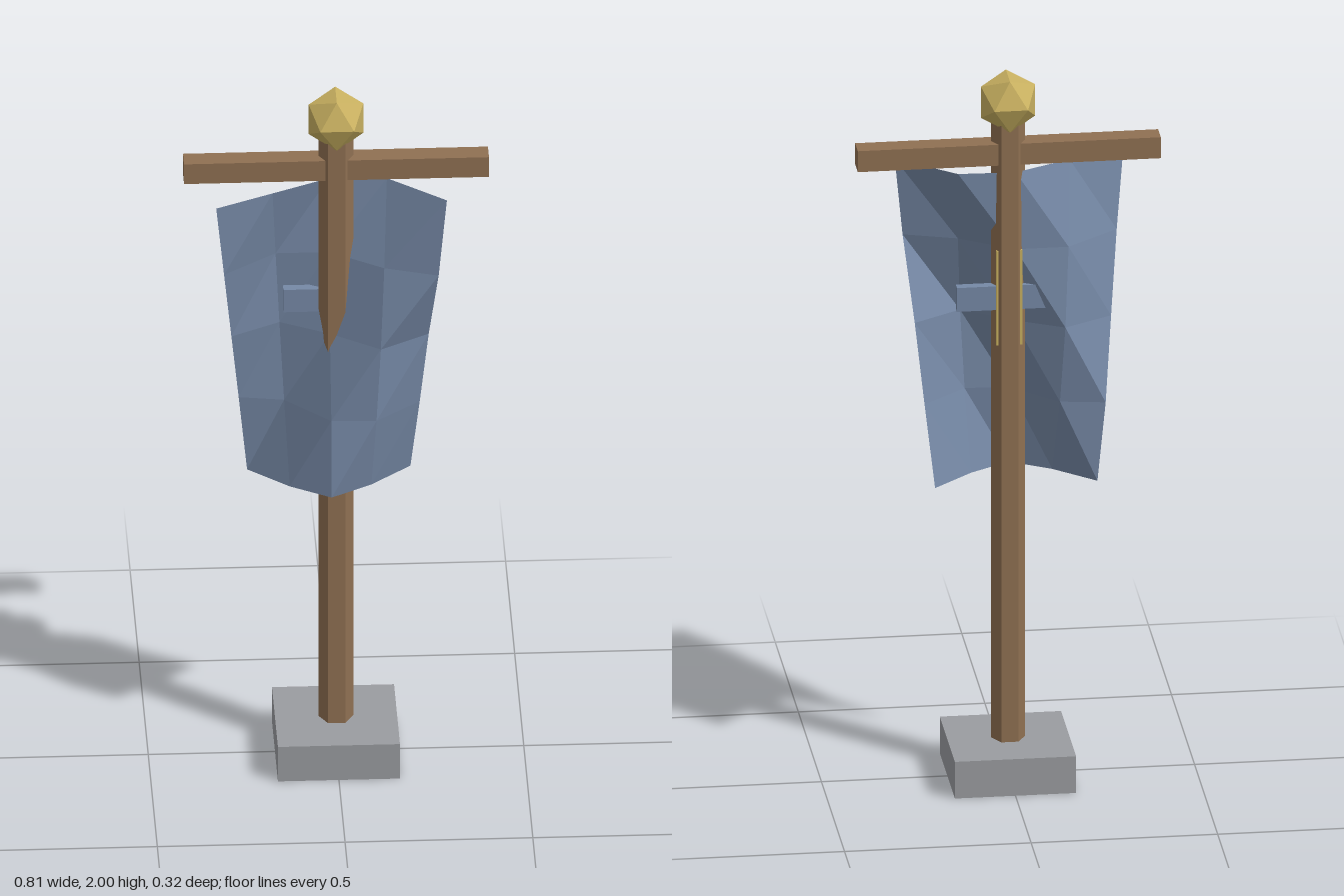
import * as THREE from 'three';

const flat = (name, color, side = THREE.FrontSide) => {
  const m = new THREE.MeshStandardMaterial({ color, side, flatShading: true });
  m.name = name;
  return m;
};

export function createModel() {
  const group = new THREE.Group();
  const wood = flat('wood', 0x8f7052);
  const cloth = flat('blue cloth', 0x7689a6, THREE.DoubleSide);
  const gold = flat('gold', 0xc8b060);
  const stone = flat('stone', 0x9a9ca0);

  const add = (name, geometry, material, x = 0, y = 0, z = 0) => {
    const mesh = new THREE.Mesh(geometry, material);
    mesh.name = name;
    mesh.position.set(x, y, z);
    group.add(mesh);
    return mesh;
  };

  // Stone foot, six-sided pole with a corner on each side, and crossbar
  add('base', new THREE.BoxGeometry(0.325, 0.105, 0.325), stone, 0, 0.0525, 0);
  add('pole', new THREE.CylinderGeometry(0.046, 0.046, 1.88, 6), wood, 0, 0.942, 0).rotation.y = Math.PI / 6;
  add('crossbar', new THREE.BoxGeometry(0.812, 0.06, 0.058), wood, 0, 1.785, 0);

  // Faceted finial with its top edge running front to back
  add('finial', new THREE.IcosahedronGeometry(0.0855), gold, 0, 1.9273, 0).rotation.y = Math.PI / 2;

  // Hanging banner: tapered sheet, folds given as depth per row from top to bottom
  const folds = [
    [0.125, 0.05, -0.025, -0.018, 0.11],
    [0.09, -0.02, -0.02, 0.075, 0.122],
    [0.03, -0.042, 0.028, 0.12, 0.04],
    [-0.035, -0.015, 0.106, 0.112, 0.01],
    [-0.038, 0.06, 0.126, 0.06, -0.037],
  ];
  const sheet = new THREE.PlaneGeometry(2, 1, 4, 4);
  const pos = sheet.attributes.position;
  for (let row = 0; row < 5; row++) {
    const half = THREE.MathUtils.lerp(0.3075, 0.2175, row / 4);
    for (let col = 0; col < 5; col++) {
      const i = row * 5 + col;
      pos.setXYZ(i, -0.0175 + pos.getX(i) * half, 1.732 - row * 0.2225, folds[row][col]);
    }
  }
  sheet.computeVertexNormals();
  add('banner', sheet, cloth);

  // Cross-shaped fitting behind the banner
  add('crossStrip', new THREE.BoxGeometry(0.28, 0.068, 0.026), cloth, 0, 1.374, -0.013);
  add('uprightStrip', new THREE.BoxGeometry(0.07, 0.27, 0.012), gold, 0, 1.375, -0.024);

  return group;
}
